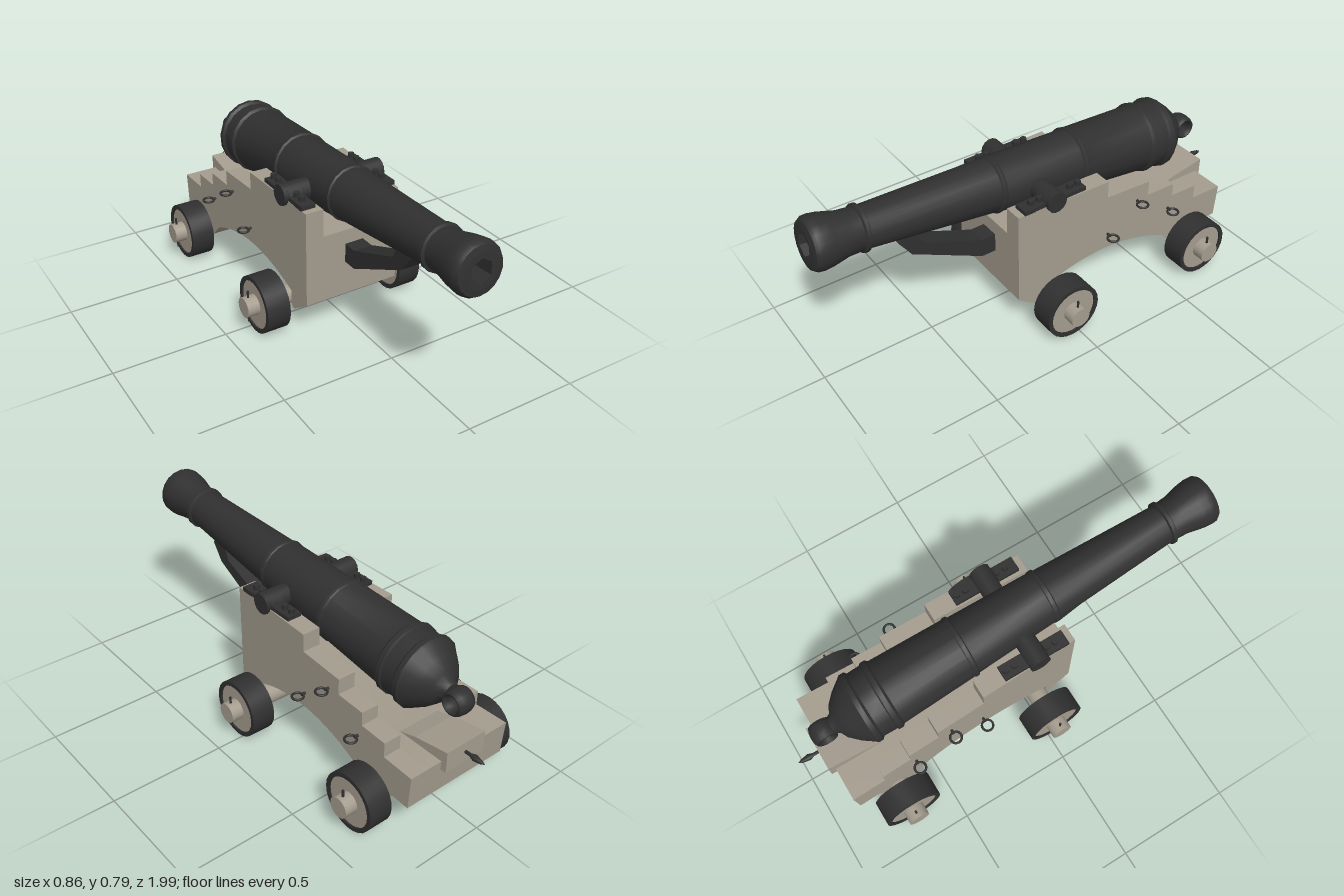
import * as THREE from 'three';
import { toCreasedNormals } from 'three/addons/utils/BufferGeometryUtils.js';

const wood = new THREE.MeshStandardMaterial({ color: 0xa49c8e });
wood.name = 'weathered wood';
const iron = new THREE.MeshStandardMaterial({ color: 0x303030 });
iron.name = 'black iron';

export function createModel() {
  const model = new THREE.Group();
  model.name = 'shipCannon';

  const add = (name, geo, mat, x = 0, y = 0, z = 0, parent = model) => {
    const mesh = new THREE.Mesh(geo, mat);
    mesh.name = name;
    mesh.position.set(x, y, z);
    parent.add(mesh);
    return mesh;
  };
  // Extrude a (z, y) side profile across x, from x0 to x1
  const across = (shape, x0, x1) => {
    const geo = new THREE.ExtrudeGeometry(shape, { depth: x1 - x0, bevelEnabled: false, curveSegments: 14 });
    return geo.rotateY(-Math.PI / 2).translate(x1, 0, 0);
  };
  // The carriage widens towards the rear
  const widen = (geo) => {
    const p = geo.attributes.position;
    for (let i = 0; i < p.count; i++) {
      p.setX(i, p.getX(i) + Math.sign(p.getX(i)) * (0.2 - p.getZ(i)) * 0.03);
    }
    return toCreasedNormals(geo, 0.6);
  };
  const polygon = (pts) => new THREE.Shape(pts.map(([z, y]) => new THREE.Vector2(z, y)));
  const rod = (r, length, sides = 16) => new THREE.CylinderGeometry(r, r, length, sides);
  const rodX = (r, length, sides) => rod(r, length, sides).rotateZ(Math.PI / 2);

  // Carriage profiles share the arched underside
  const carriageProfile = (top) => {
    const s = new THREE.Shape();
    s.moveTo(-0.87, 0.16);
    s.lineTo(-0.78, 0.16);
    s.lineTo(-0.74, 0.1);
    s.lineTo(-0.63, 0.1);
    s.lineTo(-0.56, 0.17);
    s.quadraticCurveTo(-0.25, 0.315, 0.08, 0.17);
    s.quadraticCurveTo(0.07, 0.09, 0.1, 0.09);
    s.lineTo(0.15, 0.125);
    s.lineTo(0.2, 0.16);
    top.forEach(([z, y]) => s.lineTo(z, y));
    return s;
  };
  const cheekTop = [[0.2, 0.59], [-0.24, 0.59], [-0.24, 0.51], [-0.46, 0.505], [-0.46, 0.435],
    [-0.6, 0.435], [-0.6, 0.375], [-0.73, 0.375], [-0.73, 0.31], [-0.88, 0.31]];
  const bedTop = [[0.2, 0.465], [0.1, 0.465], [0.08, 0.3], [-0.6, 0.3], [-0.66, 0.31], [-0.88, 0.31]];
  add('leftCheek', widen(across(carriageProfile(cheekTop), 0.14, 0.22)), wood);
  add('rightCheek', widen(across(carriageProfile(cheekTop), -0.22, -0.14)), wood);
  add('bed', widen(across(carriageProfile(bedTop), -0.145, 0.145)), wood);

  // Aiming wedge with its handle
  add('wedge', across(polygon([[-0.87, 0.27], [-0.66, 0.27], [-0.66, 0.31], [-0.74, 0.335],
    [-0.905, 0.365], [-0.905, 0.27]]), -0.1, 0.1), wood);
  const handle = [[0, 0], [0.007, 0], [0.007, 0.03], [0.014, 0.05], [0.008, 0.085], [0, 0.1]]
    .map(([r, h]) => new THREE.Vector2(r, h));
  add('wedgeHandle', new THREE.LatheGeometry(handle, 10).rotateX(-Math.PI / 2), iron, 0, 0.32, -0.9);

  // Barrel, lying along z and tilted up at the muzzle
  const barrel = new THREE.Group();
  barrel.name = 'barrel';
  barrel.position.y = 0.603;
  barrel.rotation.x = -0.078;
  model.add(barrel);
  const profile = [[0, -0.82], [0.035, -0.81], [0.045, -0.79], [0.075, -0.775], [0.115, -0.735], [0.148, -0.69],
    [0.157, -0.68], [0.157, -0.66], [0.146, -0.65], [0.148, -0.59], [0.155, -0.585], [0.155, -0.565], [0.145, -0.555],
    [0.134, -0.22], [0.138, -0.215], [0.138, -0.2], [0.13, -0.195], [0.116, 0.175],
    [0.12, 0.18], [0.12, 0.195], [0.113, 0.2], [0.086, 0.76], [0.097, 0.765], [0.097, 0.78],
    [0.087, 0.785], [0.09, 0.84], [0.106, 0.91], [0.11, 0.945], [0.108, 0.97], [0.098, 0.985], [0.07, 0.99]]
    .map(([r, z]) => new THREE.Vector2(r, z));
  add('gunTube', toCreasedNormals(new THREE.LatheGeometry(profile, 18).rotateX(Math.PI / 2), 0.7),
    iron, 0, 0, 0, barrel);

  // Six-sided bore
  const face = new THREE.Shape().absarc(0, 0, 0.072, 0, Math.PI * 2);
  const hex = [];
  for (let i = 0; i < 6; i++) {
    const a = i * Math.PI / 3 + 0.5;
    hex.push(new THREE.Vector2(0.05 * Math.cos(a), 0.05 * Math.sin(a)));
  }
  face.holes.push(new THREE.Path(hex));
  add('bore', new THREE.ExtrudeGeometry(face, { depth: 0.3, bevelEnabled: false }), iron, 0, 0, 0.69, barrel);
  add('boreEnd', new THREE.CircleGeometry(0.06, 12), iron, 0, 0, 0.7, barrel);

  // Wide breeching loop behind the barrel
  const loop = new THREE.TorusGeometry(0.042, 0.013, 10, 20).rotateY(Math.PI / 2).scale(3.2, 1, 1);
  add('breechLoop', loop, iron, 0, 0.52, -0.845);

  // Prop under the barrel
  add('barrelProp', across(polygon([[0.2, 0.315], [0.265, 0.315], [0.585, 0.48], [0.64, 0.56], [0.6, 0.6],
    [0.555, 0.57], [0.53, 0.51], [0.265, 0.4], [0.2, 0.4]]), -0.035, 0.05), iron);

  // Trunnions with their clamps
  add('trunnions', rodX(0.046, 0.48, 14), iron, 0, 0.602, 0.025);
  for (const side of [-1, 1]) {
    add('clampPlate', new THREE.BoxGeometry(0.065, 0.02, 0.3), iron, side * 0.19, 0.598, 0.02);
    add('clampArch', rodX(0.05, 0.06, 14), iron, side * 0.19, 0.596, 0.025);
    for (const z of [0.12, 0.08, -0.07, -0.11]) {
      add('clampBolt', rod(0.014, 0.022, 8), iron, side * 0.19, 0.617, z);
    }
    // Rope rings and their eye bolts
    for (const [y, z, x] of [[0.315, -0.25, 0.272], [0.43, -0.4, 0.275], [0.315, -0.58, 0.28]]) {
      add('ropeRing', new THREE.TorusGeometry(0.024, 0.005, 8, 18).rotateX(Math.PI / 2), iron, side * x, y, z);
      add('ringBolt', rodX(0.006, 0.03, 8), iron, side * (x - 0.033), y, z);
    }
  }

  // Axles and wheels
  const rimProfile = [[0.108, -0.053], [0.127, -0.053], [0.127, 0.053], [0.108, 0.053], [0.108, -0.053]]
    .map(([r, h]) => new THREE.Vector2(r, h));
  const rimGeo = toCreasedNormals(new THREE.LatheGeometry(rimProfile, 24).rotateZ(Math.PI / 2), 0.6);
  for (const z of [0.035, -0.685]) {
    add('axle', rodX(0.045, 0.855, 18), wood, 0, 0.13, z);
    for (const side of [-1, 1]) {
      add('wheelRim', rimGeo, iron, side * 0.327, 0.128, z);
      add('wheelDisc', rodX(0.109, 0.092, 24), wood, side * 0.327, 0.128, z);
      add('linchPin', rod(0.005, 0.15, 8), iron, side * 0.405, 0.13, z);
    }
  }
  return model;
}
